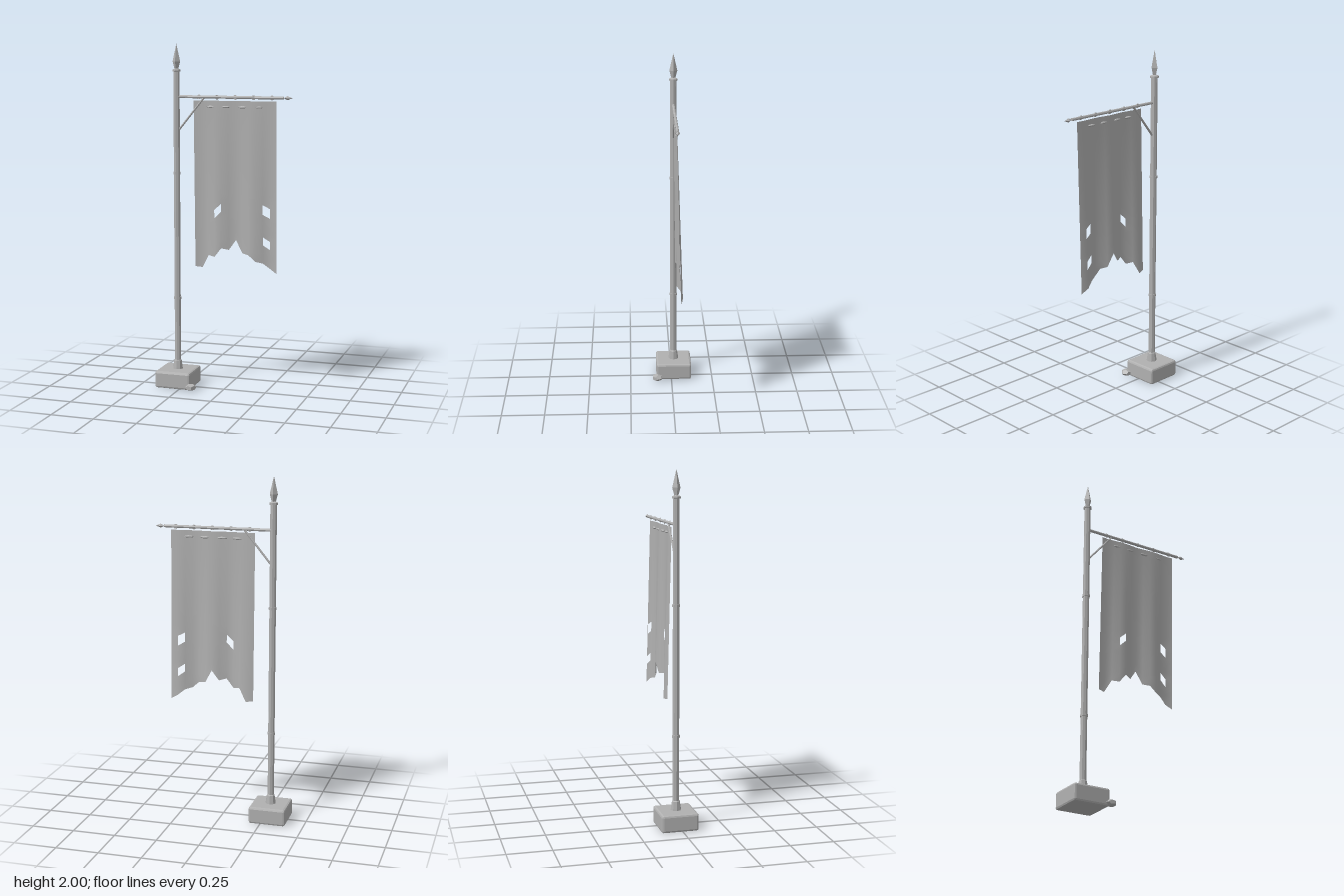
import * as THREE from 'three';
import { RoundedBoxGeometry } from 'three/addons/geometries/RoundedBoxGeometry.js';

const POLE_X = -0.29, POLE_Z = -0.015, BAR_Y = 1.7;

export function createModel() {
  const model = new THREE.Group();
  model.name = 'bannerPole';

  const grey = new THREE.MeshStandardMaterial({ color: 0xb0b0b0, flatShading: true });
  grey.name = 'plain grey';
  const cloth = new THREE.MeshStandardMaterial({ color: 0xb0b0b0, side: THREE.DoubleSide });
  cloth.name = 'cloth grey';

  const add = (name, geometry, x, y, z, material = grey) => {
    const mesh = new THREE.Mesh(geometry, material);
    mesh.name = name;
    mesh.position.set(x, y, z);
    model.add(mesh);
    return mesh;
  };
  const lathe = (points, sides) =>
    new THREE.LatheGeometry(points.map(([r, y]) => new THREE.Vector2(r, y)), sides);

  // Stone base with bevelled edges, and a loose stone at its corner
  add('base', new RoundedBoxGeometry(0.215, 0.1, 0.213, 1, 0.012), POLE_X, 0.05, POLE_Z);
  const stone = add('looseStone', new THREE.DodecahedronGeometry(1, 0), -0.176, 0.021, 0.086);
  stone.scale.set(0.034, 0.021, 0.034);
  stone.rotation.y = 0.4;

  // Pole with foot collar, joint rings and cap
  add('pole', new THREE.CylinderGeometry(0.019, 0.019, 1.76, 8), POLE_X, 0.97, POLE_Z);
  add('footCollar', lathe([[0.031, 0.095], [0.029, 0.11], [0.023, 0.15], [0.018, 0.155]], 8), POLE_X, 0, POLE_Z);
  for (const y of [0.525, 1.26]) {
    add('jointRing', new THREE.CylinderGeometry(0.0225, 0.0225, 0.014, 8), POLE_X, y, POLE_Z);
  }
  add('cap', lathe([[0, 1.838], [0.025, 1.842], [0.025, 1.853], [0.015, 1.858], [0, 1.862]], 8), POLE_X, 0, POLE_Z);

  // Four-sided spear tip
  add('spearTip', lathe([[0.011, 1.855], [0.023, 1.9], [0, 2]], 4), POLE_X, 0, POLE_Z);

  // Crossbar with its pointed end
  const bar = add('crossbar', new THREE.CylinderGeometry(0.0085, 0.0085, 0.63, 8), 0.03, BAR_Y, POLE_Z);
  bar.rotation.z = -Math.PI / 2;
  const tip = add('crossbarTip', lathe([[0, 0], [0.012, 0.022], [0, 0.051]], 4), 0.344, BAR_Y, POLE_Z);
  tip.rotation.z = -Math.PI / 2;

  // Diagonal brace
  const from = new THREE.Vector3(-0.278, 1.508, POLE_Z);
  const to = new THREE.Vector3(-0.125, 1.695, POLE_Z);
  const dir = to.clone().sub(from);
  const brace = add('brace', new THREE.CylinderGeometry(0.006, 0.006, dir.length(), 6), 0, 0, 0);
  brace.position.copy(from).add(to).multiplyScalar(0.5);
  brace.quaternion.setFromUnitVectors(new THREE.Vector3(0, 1, 0), dir.normalize());

  // Hanging rings along the bar
  for (let i = 0; i < 5; i++) {
    add('hangingRing', new THREE.TorusGeometry(0.01, 0.0035, 6, 12), -0.155 + i * 0.108, BAR_Y, POLE_Z);
  }

  // Tattered banner
  add('banner', bannerGeometry(), 0, 0, 0, cloth);

  // Small gathers under the top edge
  for (const x of [-0.082, 0.003, 0.106, 0.198]) {
    const gather = add('gather', new THREE.SphereGeometry(1, 8, 6), x, 1.645, POLE_Z);
    gather.scale.set(0.027, 0.007, 0.008);
  }
  return model;
}

// Wavy cloth grid with a torn lower edge; missing cells form the holes
function bannerGeometry() {
  const top = 1.68, left = -0.186, width = 0.49;
  const hem = [0.715, 0.71, 0.785, 0.78, 0.832, 0.822, 0.88, 0.806, 0.8, 0.764, 0.753, 0.72, 0.695];
  const rows = [0, 0.07, 0.14, 0.21, 0.28, 0.35, 0.42, 0.49, 0.56, 0.636, 0.695, 0.75, 0.79, 0.835, 0.885, 0.94, 1];
  const holes = ['3,10', '10,9', '10,13'];
  const cols = hem.length - 1;
  const positions = [], index = [];
  rows.forEach((v, r) => {
    hem.forEach((bottom, c) => {
      const x = left + (width * c) / cols;
      const y = top + (bottom - top) * v;
      const drop = top - y;
      const wave = Math.cos((2 * Math.PI * (x + 0.145)) / 0.205);
      positions.push(x, y, -0.012 - drop * 0.02 - (0.004 + 0.014 * drop) * wave);
      if (r < rows.length - 1 && c < cols && !holes.includes(`${c},${r}`)) {
        const a = r * (cols + 1) + c, b = a + cols + 1;
        index.push(a, b, a + 1, b, b + 1, a + 1);
      }
    });
  });
  const geometry = new THREE.BufferGeometry();
  geometry.setAttribute('position', new THREE.Float32BufferAttribute(positions, 3));
  geometry.setIndex(index);
  geometry.computeVertexNormals();
  return geometry;
}
